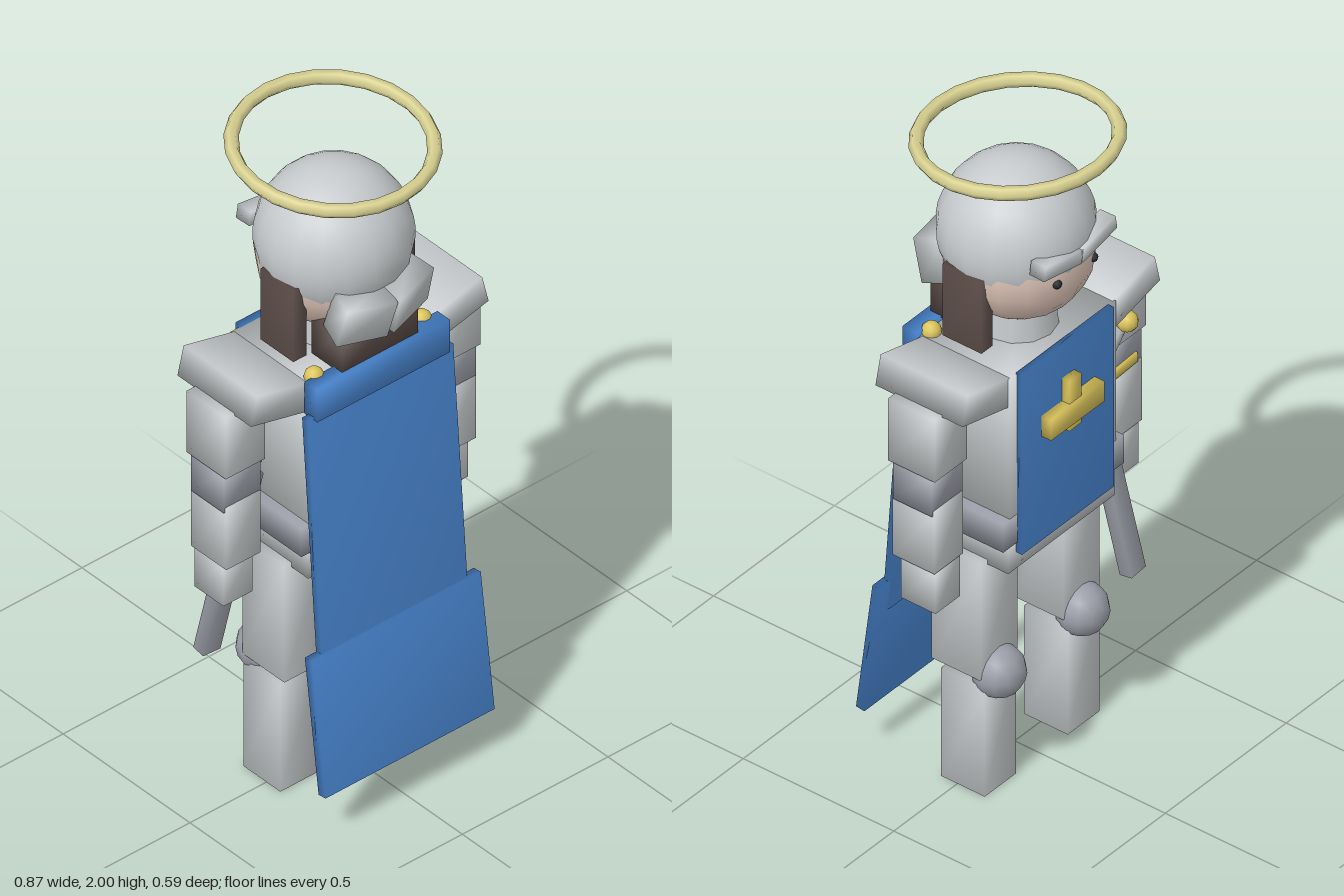
import * as THREE from 'three';
import { mergeVertices } from 'three/addons/utils/BufferGeometryUtils.js';

function mat(name, color) {
  const m = new THREE.MeshStandardMaterial({ color });
  m.name = name;
  return m;
}

export function createModel() {
  const model = new THREE.Group();
  model.name = 'armouredFigure';

  const steel = mat('light steel', 0xc6cacc);
  const iron = mat('dark steel', 0x9c9fa9);
  const blue = mat('blue cloth', 0x4a88d4);
  const gold = mat('gold', 0xdcc55c);
  const glow = mat('pale gold', 0xd9d292);
  const brown = mat('brown hair', 0x5c4d48);
  const skin = mat('skin', 0xdcc3b6);
  const black = mat('dark eyes', 0x2a2a30);

  function add(name, geometry, material, pos, rot = [0, 0, 0]) {
    const mesh = new THREE.Mesh(geometry, material);
    mesh.name = name;
    mesh.position.set(...pos);
    mesh.rotation.set(...rot);
    model.add(mesh);
    return mesh;
  }

  // Box whose corner normals are shared, giving softly shaded faces
  function softBox(w, h, d) {
    const g = new THREE.BoxGeometry(w, h, d);
    g.deleteAttribute('normal');
    g.deleteAttribute('uv');
    const merged = mergeVertices(g);
    merged.computeVertexNormals();
    return merged;
  }
  const box = (name, m, size, pos, rot) => add(name, softBox(...size), m, pos, rot);
  const ball = (name, m, r, pos, ws = 12, hs = 8) =>
    add(name, new THREE.SphereGeometry(r, ws, hs), m, pos);

  // Box stretched between two points
  function bar(name, m, w, d, from, to) {
    const a = new THREE.Vector3(...from), b = new THREE.Vector3(...to);
    const dir = b.clone().sub(a);
    const mesh = add(name, softBox(w, dir.length(), d), m, a.clone().add(b).multiplyScalar(0.5).toArray());
    mesh.quaternion.setFromUnitVectors(new THREE.Vector3(0, 1, 0), dir.normalize());
    return mesh;
  }

  // Halo
  add('halo', new THREE.TorusGeometry(0.265, 0.02, 6, 24), glow, [0, 1.96, -0.01], [Math.PI / 2 + 0.08, 0, 0]);

  // Head, helmet and hair
  ball('face', skin, 0.204, [0, 1.622, -0.015], 16, 12);
  add('helmet', new THREE.SphereGeometry(0.212, 18, 12, 0, Math.PI * 2, 0, Math.PI * 0.64), steel, [0, 1.675, -0.006]);
  box('backHair', brown, [0.26, 0.14, 0.12], [0, 1.45, 0.115]);
  add('neck', new THREE.CylinderGeometry(0.1, 0.11, 0.09, 12), steel, [0, 1.4, -0.01]);

  // Torso, belt and hips
  box('torso', steel, [0.44, 0.48, 0.305], [0, 1.13, -0.008]);
  box('belt', iron, [0.5, 0.09, 0.315], [0, 0.875, -0.005]);
  box('hips', steel, [0.44, 0.1, 0.3], [0, 0.79, -0.005]);

  // Tabard and its cross, worn on the -z side
  box('tabardFront', blue, [0.38, 0.58, 0.02], [0, 1.085, -0.167]);
  box('tabardBack', blue, [0.38, 0.58, 0.02], [0, 1.085, 0.153]);
  box('crossUpright', gold, [0.05, 0.16, 0.03], [0, 1.19, -0.187]);
  box('crossBar', gold, [0.22, 0.065, 0.035], [0, 1.165, -0.192]);

  // Cape
  box('capeCollar', blue, [0.456, 0.105, 0.05], [0, 1.333, 0.165]);
  box('capeUpper', blue, [0.5, 0.82, 0.022], [0, 0.88, 0.197], [-0.075, 0, 0]);
  box('capeLower', blue, [0.58, 0.42, 0.028], [0, 0.35, 0.253], [-0.13, 0, 0]);

  // Mirrored parts
  for (const s of [-1, 1]) {
    const side = s > 0 ? 'left' : 'right';
    ball(side + 'Eye', black, 0.014, [s * 0.075, 1.615, -0.2], 8, 6);
    box(side + 'SideHair', brown, [0.045, 0.23, 0.13], [s * 0.186, 1.515, 0.008]);
    box(side + 'BrowWing', steel, [0.15, 0.042, 0.05], [s * 0.073, 1.683, -0.197], [0, -s * 0.04, s * 0.16]);
    box(side + 'HelmetNapeWing', steel, [0.15, 0.13, 0.08], [s * 0.07, 1.55, 0.18], [0.25, s * 0.25, s * 0.06]);
    ball(side + 'CapeClasp', gold, 0.028, [s * 0.185, 1.375, 0.128], 10, 6);

    // Arm
    box(side + 'ShoulderPad', steel, [0.2, 0.09, 0.29], [s * 0.3, 1.345, -0.01], [0, 0, s * 0.24]);
    box(side + 'UpperArm', steel, [0.134, 0.2, 0.155], [s * 0.37, 1.23, -0.008]);
    box(side + 'Elbow', iron, [0.126, 0.13, 0.13], [s * 0.37, 1.075, -0.008]);
    box(side + 'Forearm', steel, [0.118, 0.2, 0.14], [s * 0.37, 0.925, -0.008]);
    box(side + 'Hand', steel, [0.1, 0.14, 0.115], [s * 0.37, 0.76, -0.017]);

    // Leg
    box(side + 'Thigh', steel, [0.15, 0.38, 0.165], [s * 0.17, 0.565, -0.003]);
    box(side + 'LowerLeg', steel, [0.13, 0.35, 0.145], [s * 0.172, 0.175, -0.018]);
    ball(side + 'Knee', iron, 0.075, [s * 0.172, 0.37, -0.085]);
  }

  // Sword hanging at the -x hip
  bar('swordBlade', iron, 0.06, 0.04, [-0.333, 0.415, -0.125], [-0.285, 1.03, -0.01]);
  bar('swordGrip', steel, 0.03, 0.03, [-0.285, 1.03, -0.04], [-0.29, 1.25, -0.125]);
  box('swordGuard', gold, [0.2, 0.03, 0.04], [-0.31, 1.035, -0.06], [0, 0, -0.06]);
  ball('swordPommel', gold, 0.03, [-0.295, 1.25, -0.137], 10, 8);

  return model;
}
